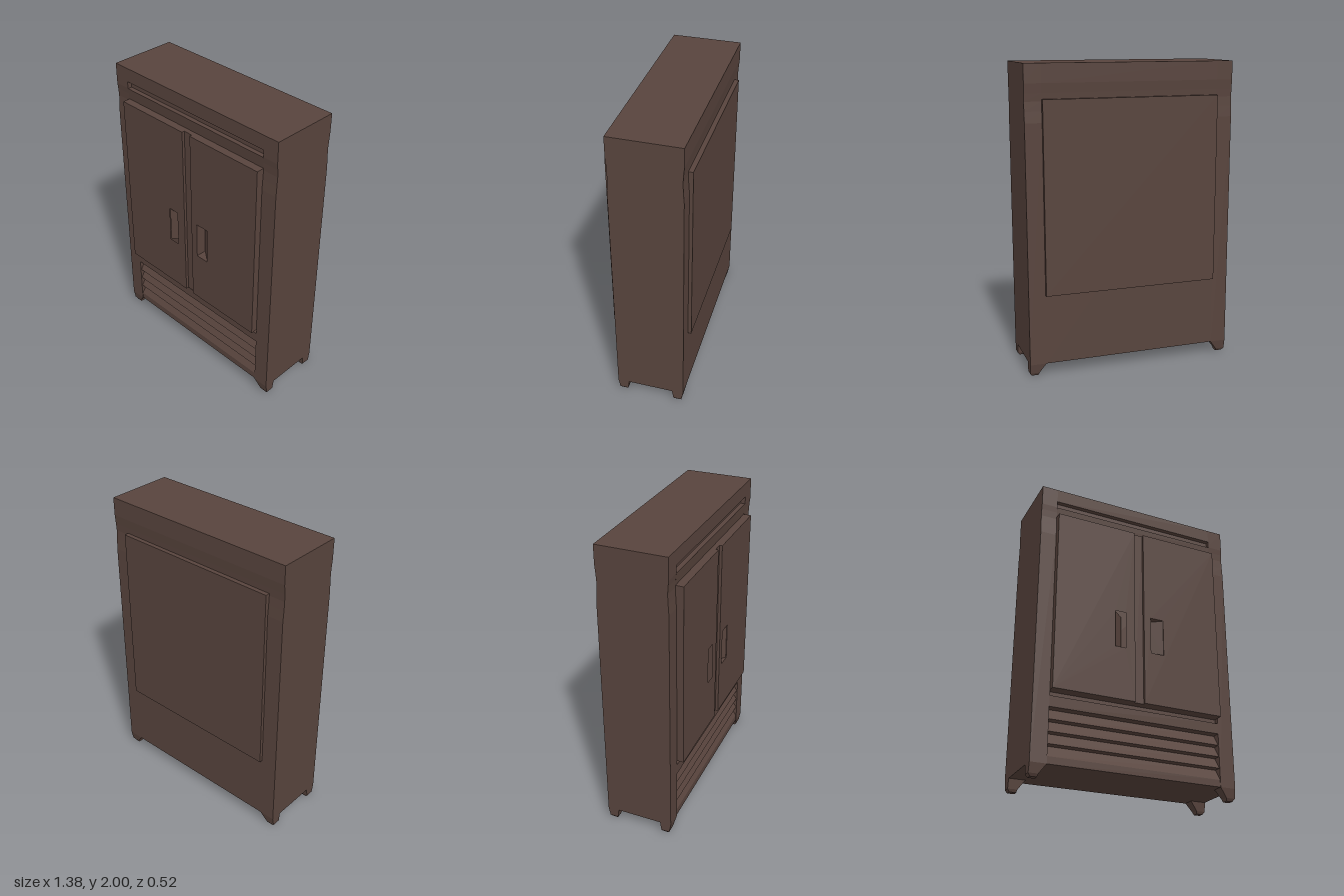
import * as THREE from 'three';

const brown = new THREE.MeshStandardMaterial({ color: 0x58443d });
brown.name = 'dark brown wood';

const FRONT = 0.217, BACK = -0.24, HALF = 0.692, INNER = 0.585, BASE = 0.08;

const toShape = pts => new THREE.Shape(pts.map(p => new THREE.Vector2(p[0], p[1])));

const rect = (x0, y0, x1, y1) => [[x0, y0], [x1, y0], [x1, y1], [x0, y1]];

export function createModel() {
  const model = new THREE.Group();
  const add = (name, geometry) => {
    const mesh = new THREE.Mesh(geometry, brown);
    mesh.name = name;
    model.add(mesh);
    return mesh;
  };
  const extrude = (shape, depth) => new THREE.ExtrudeGeometry(shape, { depth, bevelEnabled: false });
  const box = (name, x0, x1, y0, y1, z0, z1) =>
    add(name, new THREE.BoxGeometry(x1 - x0, y1 - y0, z1 - z0)
      .translate((x0 + x1) / 2, (y0 + y1) / 2, (z0 + z1) / 2));

  // Side profile (z, y) swept along x
  const sweep = (name, profile, x0, x1) =>
    add(name, extrude(toShape(profile), x1 - x0).rotateY(-Math.PI / 2).translate(x1, 0, 0));

  // Back edge with a shallow cove below the cornice, from top to bottom
  const backEdge = [[BACK, 2], [BACK, 1.88], [-0.235, 1.82], [-0.232, 1.77], [-0.235, 1.71], [BACK, 1.64], [BACK, BASE]];
  const frontCove = [[FRONT, 1.64], [0.213, 1.71], [0.21, 1.77], [0.213, 1.82], [FRONT, 1.86], [FRONT, 2]];

  // Side stiles
  const stile = [...backEdge, [FRONT, BASE], ...frontCove];
  sweep('leftStile', stile, INNER, HALF);
  sweep('rightStile', stile, -HALF, -INNER);

  // Middle carcass: louvres, lower groove, door opening, upper groove
  const louvres = [];
  for (let i = 0; i < 4; i++) {
    const y = 0.127 + i * 0.0768;
    louvres.push([FRONT - 0.004, y], [FRONT - 0.055, y + 0.0768]);
  }
  sweep('carcass', [
    ...backEdge, [FRONT - 0.004, BASE], ...louvres,
    [FRONT, 0.4345], [FRONT, 0.505], [0.187, 0.505], [0.187, 0.54],
    [0.17, 0.54], [0.17, 1.783], [0.21, 1.783], [FRONT, 1.858],
    [0.187, 1.858], [0.187, 1.906], [FRONT, 1.906], [FRONT, 2],
  ], -INNER, INNER);

  // Doors with slanted finger pockets
  for (const s of [1, -1]) {
    const side = s > 0 ? 'left' : 'right';
    const deep = s > 0 ? 0.082 : -0.1, shallow = s * 0.174;
    const door = toShape(rect(s * 0.033, 0.54, s * INNER, 1.783));
    door.holes.push(new THREE.Path(
      rect(deep, 0.897, shallow, 1.15).map(p => new THREE.Vector2(p[0], p[1]))));
    add(side + 'Door', extrude(door, 0.092).translate(0, 0, 0.17));
    const wedge = toShape([[deep, 0.165], [shallow, 0.165], [shallow, 0.258], [deep, 0.19]]);
    add(side + 'HandlePocket', extrude(wedge, 0.253).rotateX(Math.PI / 2).translate(0, 1.15, 0));
  }
  box('doorGapStrip', -0.033, 0.033, 0.54, 1.783, 0.17, 0.243);

  // Raised back panel
  box('backPanel', -0.582, 0.582, 0.54, 1.783, -0.262, -0.22);

  // Tapered feet: each level is y, x range, z range measured from the corner
  const levels = [
    [BASE, 0, 0.107, 0, 0.077],
    [0.018, 0, 0.062, 0.012, 0.068],
    [0, 0.014, 0.058, 0.022, 0.06],
  ];
  for (const sx of [1, -1]) for (const sz of [1, -1]) {
    const pos = [], index = [];
    for (const [y, xa, xb, za, zb] of levels) {
      const corner = sz > 0 ? FRONT : BACK;
      for (const [dx, dz] of rect(xa, za, xb, zb))
        pos.push(sx * (HALF - dx), y, corner - sz * dz);
    }
    const face = (a, b, c) => (sx * sz > 0 ? index.push(a, b, c) : index.push(a, c, b));
    for (let l = 0; l < 2; l++) for (let i = 0; i < 4; i++) {
      const a = l * 4 + i, b = l * 4 + (i + 1) % 4;
      face(a, b, b + 4);
      face(a, b + 4, a + 4);
    }
    face(8, 9, 10);
    face(8, 10, 11);
    const g = new THREE.BufferGeometry();
    g.setAttribute('position', new THREE.Float32BufferAttribute(pos, 3));
    g.setIndex(index);
    const flat = g.toNonIndexed();
    flat.computeVertexNormals();
    add((sz > 0 ? 'front' : 'back') + (sx > 0 ? 'Left' : 'Right') + 'Foot', flat);
  }
  return model;
}
